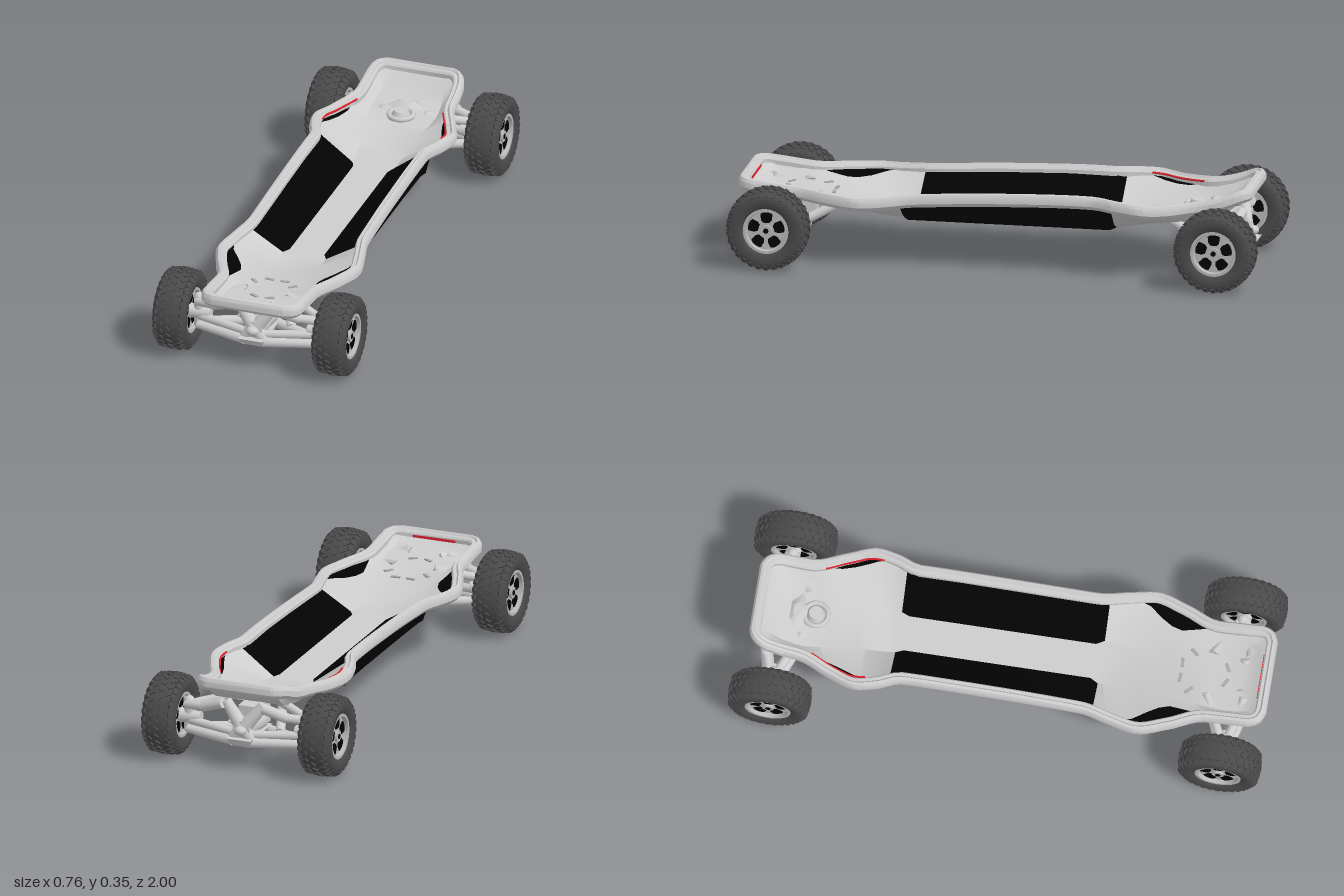
import * as THREE from 'three';
import { mergeGeometries, toCreasedNormals } from 'three/addons/utils/BufferGeometryUtils.js';

const mat = (name, color, side = THREE.FrontSide) => {
  const m = new THREE.MeshStandardMaterial({ color, side });
  m.name = name;
  return m;
};

// Smooth monotone lookup in a table of [z, value], z descending
function look(table, z) {
  const n = table.length - 1;
  if (z >= table[0][0]) return table[0][1];
  if (z <= table[n][0]) return table[n][1];
  const slope = i => (table[i + 1][1] - table[i][1]) / (table[i + 1][0] - table[i][0]);
  const tangent = i => {
    if (i === 0 || i === n) return slope(i === 0 ? 0 : n - 1);
    const a = slope(i - 1), b = slope(i);
    return a * b <= 0 ? 0 : 2 * a * b / (a + b);
  };
  let i = 0;
  while (z < table[i + 1][0]) i++;
  const [z0, a] = table[i], [z1, b] = table[i + 1], h = z1 - z0, t = (z - z0) / h, u = 1 - t;
  return a * (1 + 2 * t) * u * u + h * tangent(i) * t * u * u + b * t * t * (3 - 2 * t) - h * tangent(i + 1) * t * t * u;
}
const HALF = [[0.99, 0.14], [0.975, 0.175], [0.93, 0.198], [0.77, 0.198], [0.64, 0.245], [0.52, 0.28], [0.42, 0.262],
  [0.3, 0.237], [0, 0.235], [-0.36, 0.235], [-0.45, 0.265], [-0.53, 0.28], [-0.64, 0.245], [-0.76, 0.198], [-0.87, 0.192], [-0.91, 0.18], [-0.94, 0.155], [-0.95, 0.13]];
const TOP = [[0.99, 0.308], [0.9, 0.3], [0.7, 0.28], [0.5, 0.274], [0.3, 0.288], [0, 0.305], [-0.3, 0.313],
  [-0.5, 0.305], [-0.62, 0.294], [-0.75, 0.303], [-0.85, 0.325], [-0.92, 0.35], [-0.95, 0.353]];
const FLOOR_HALF = [[0.95, 0.13], [0.85, 0.14], [0.74, 0.13], [0.6, 0.1], [0.45, 0.08], [0.35, 0.085], [0.32, 0.068], [-0.38, 0.068], [-0.41, 0.08], [-0.6, 0.1], [-0.75, 0.13], [-0.91, 0.11]];
const FLOOR = [[0.95, 0.278], [0.9, 0.252], [0.7, 0.235], [0.5, 0.2], [0.4, 0.185], [-0.41, 0.185], [-0.55, 0.21], [-0.7, 0.235], [-0.83, 0.262], [-0.91, 0.322]];
const WALL = [[0.95, 0.9], [0.76, 0.97], [0.7, 0.6], [0.63, 0.4], [0.55, 0.62], [0.46, 0.97], [0.35, 0.95], [-0.41, 0.95], [-0.48, 0.97], [-0.55, 0.82], [-0.65, 0.75], [-0.74, 0.97], [-0.91, 0.9]];
const BASE = [[0.7, 0.14], [0.37, 0.1], [0.35, 0.14], [-0.41, 0.14], [-0.43, 0.1], [-0.7, 0.14]];
const FLARE = [[0.37, 0.4], [0.35, 0.75], [-0.41, 0.75], [-0.43, 0.4]];
const half = z => look(HALF, z), top = z => look(TOP, z);

// Half cross-section of the tub: inside from the centre out, then back underneath
function section(z) {
  const h = half(z), t = top(z), f = look(FLOOR, z), fh = look(FLOOR_HALF, z), k = look(WALL, z);
  const r = [h - 0.03, t - 0.02], b = [look(BASE, z), f - 0.02], r2 = [h - 0.02, t - 0.03];
  return [[0, f], [fh, f], [fh + (r[0] - fh) * k, f + (r[1] - f) * k], r, r2,
    [b[0] + (r2[0] - b[0]) * look(FLARE, z), b[1] + 0.025], b, [0, b[1]]];
}

const quad = (out, a, b, c, d) => out.push(...a, ...b, ...c, ...a, ...c, ...d);
function surface(list, crease) {
  const g = new THREE.BufferGeometry();
  g.setAttribute('position', new THREE.Float32BufferAttribute(list, 3));
  return toCreasedNormals(g, crease);
}

function tubGeometries() {
  const zs = [0.95, 0.92, 0.88, 0.82, 0.76, 0.73, 0.7, 0.66, 0.63, 0.59, 0.55, 0.5, 0.46, 0.4, 0.37, 0.35, 0.32, 0.2, 0, -0.2,
    -0.38, -0.41, -0.43, -0.45, -0.48, -0.52, -0.55, -0.6, -0.65, -0.69, -0.74, -0.77, -0.83, -0.87, -0.91];
  const body = [], panel = [];
  for (let i = 0; i + 1 < zs.length; i++) {
    const za = zs[i], zb = zs[i + 1], zm = (za + zb) / 2, A = section(za), B = section(zb);
    const battery = zm < 0.35 && zm > -0.41, boxSide = zm < 0.37 && zm > -0.43;
    const vent = (zm < 0.76 && zm > 0.46) || (zm < -0.48 && zm > -0.74);
    for (let j = 0; j < 7; j++) {
      const dark = (battery && j === 1) || (boxSide && (j === 4 || j === 5)) || (vent && j === 2);
      for (const s of [1, -1]) {
        const P = (p, z) => [s * p[0], p[1], z];
        const q = [P(A[j], za), P(A[j + 1], za), P(B[j + 1], zb), P(B[j], zb)];
        quad(dark ? panel : body, ...(s > 0 ? q : q.reverse()));
      }
    }
  }
  return [surface(body, 0.5), surface(panel, 0.5)];
}

// Rim: a stepped profile swept around the deck outline
function rimGeometry() {
  const side = [];
  const zs = [0.99, 0.985, 0.975, 0.955, 0.93];
  for (let z = 0.89; z > -0.86; z -= 0.025) zs.push(z);
  zs.push(-0.88, -0.9, -0.92, -0.935, -0.945, -0.95);
  for (const z of zs) side.push([half(z), z]);
  const loop = [...side, ...side.map(([x, z]) => [-x, z]).reverse()];
  const profile = [[0.012, -0.05], [0, -0.036], [0, -0.014], [0.008, -0.002], [0.018, 0], [0.024, -0.008], [0.036, -0.008], [0.042, -0.016], [0.042, -0.036]];
  const n = loop.length;
  const rings = loop.map(([x, z], i) => {
    const unit = (p, q) => { const l = Math.hypot(q[0] - p[0], q[1] - p[1]) || 1; return [(q[0] - p[0]) / l, (q[1] - p[1]) / l]; };
    const u = unit(loop[(i + n - 1) % n], loop[i]), v = unit(loop[i], loop[(i + 1) % n]);
    const tx = u[0] + v[0], tz = u[1] + v[1], l = Math.hypot(tx, tz);
    return profile.map(([d, y]) => [x + d * tz / l, top(z) + y, z - d * tx / l]);
  });
  const out = [];
  for (let i = 0; i < n; i++) {
    const A = rings[i], B = rings[(i + 1) % n];
    for (let j = 0; j < profile.length; j++) {
      const k = (j + 1) % profile.length;
      quad(out, A[j], A[k], B[k], B[j]);
    }
  }
  return surface(out, 0.6);
}

function rod(a, b, r0, r1 = r0) {
  const p = new THREE.Vector3(...a), d = new THREE.Vector3(...b).sub(p);
  const g = new THREE.CylinderGeometry(r1, r0, d.length(), 14);
  g.translate(0, d.length() / 2, 0);
  g.applyQuaternion(new THREE.Quaternion().setFromUnitVectors(new THREE.Vector3(0, 1, 0), d.normalize()));
  return g.translate(p.x, p.y, p.z);
}

// Suspension for one end, built toward +z
function suspensionGeometry() {
  const g = [
    new THREE.SphereGeometry(1, 20, 12).scale(0.024, 0.018, 0.022).translate(0, 0.155, 0.925),
    rod([0, 0.15, 0.76], [0, 0.155, 0.92], 0.045, 0.034),
    new THREE.CylinderGeometry(0.07, 0.05, 0.035, 4, 1, false, Math.PI / 4).scale(1, 1, 2.2).translate(0, 0.108, 0.84),
    new THREE.BoxGeometry(0.07, 0.1, 0.14).translate(0, 0.18, 0.79),
  ];
  for (const s of [1, -1]) {
    g.push(
      rod([0, 0.155, 0.9], [s * 0.075, 0.25, 0.88], 0.028, 0.02),
      rod([0, 0.155, 0.9], [s * 0.045, 0.108, 0.905], 0.03, 0.02),
      rod([s * 0.035, 0.108, 0.91], [s * 0.235, 0.112, 0.865], 0.02, 0.016),
      rod([s * 0.035, 0.108, 0.75], [s * 0.235, 0.112, 0.83], 0.02, 0.016),
      rod([s * 0.03, 0.135, 0.9], [s * 0.24, 0.143, 0.85], 0.016),
      rod([s * 0.08, 0.245, 0.9], [s * 0.17, 0.212, 0.88], 0.02),
      rod([s * 0.16, 0.213, 0.88], [s * 0.245, 0.203, 0.855], 0.017),
      rod([s * 0.08, 0.235, 0.76], [s * 0.24, 0.2, 0.835], 0.018, 0.015),
      rod([s * 0.05, 0.19, 0.63], [s * 0.1, 0.115, 0.78], 0.018),
      rod([s * 0.19, 0.155, 0.845], [s * 0.3, 0.155, 0.845], 0.022, 0.03),
      rod([s * 0.237, 0.1, 0.845], [s * 0.237, 0.215, 0.845], 0.02),
      new THREE.SphereGeometry(0.02, 16, 10).translate(s * 0.237, 0.215, 0.845),
    );
  }
  return mergeGeometries(g);
}

// Wheel pieces, axis along x
function tyreGeometry() {
  const prof = [[0.084, -0.052], [0.095, -0.061], [0.122, -0.066], [0.138, -0.057], [0.147, -0.035], [0.149, 0],
    [0.147, 0.035], [0.138, 0.057], [0.122, 0.066], [0.095, 0.061], [0.084, 0.052], [0.08, 0.03], [0.08, -0.03], [0.084, -0.052]];
  return new THREE.LatheGeometry(prof.map(p => new THREE.Vector2(...p)), 48).rotateZ(-Math.PI / 2);
}
function treadGeometry() {
  const g = [], n = 30;
  for (let i = 0; i < n; i++) {
    for (const [x, r, tilt, twist, shift] of [[-0.053, 0.139, 0.85, 0.2, 0], [-0.031, 0.147, 0.2, 0.6, 0.5], [0, 0.15, 0, -0.6, 0],
      [0.031, 0.147, -0.2, 0.6, 0.5], [0.053, 0.139, -0.85, 0.2, 0]]) {
      g.push(new THREE.BoxGeometry(0.022, 0.01, 0.015).rotateY(twist).rotateZ(tilt).translate(x, r, 0)
        .rotateX((i + shift) / n * Math.PI * 2));
    }
  }
  return mergeGeometries(g);
}
function hubGeometry() {
  const ring = [[0.086, -0.055], [0.086, 0.055], [0.076, 0.055], [0.073, 0.04], [0.073, -0.04], [0.076, -0.055], [0.086, -0.055]];
  const lathe = toCreasedNormals(new THREE.LatheGeometry(ring.map(p => new THREE.Vector2(...p)), 40), 0.5);
  const parts = [lathe.rotateZ(-Math.PI / 2)];
  const add = geo => parts.push(geo.toNonIndexed());
  add(new THREE.CylinderGeometry(0.075, 0.075, 0.08, 32).rotateZ(Math.PI / 2));
  add(new THREE.CylinderGeometry(0.022, 0.022, 0.098, 20).rotateZ(Math.PI / 2));
  return mergeGeometries(parts);
}
function hubHolesGeometry() {
  const g = [];
  const s = new THREE.Shape([[0.03, -0.012], [0.04, -0.02], [0.063, -0.023], [0.068, -0.014], [0.07, 0], [0.068, 0.014], [0.063, 0.023], [0.04, 0.02], [0.03, 0.012]]
    .map(p => new THREE.Vector2(...p)));
  for (const side of [1, -1]) {
    for (let i = 0; i < 5; i++) {
      g.push(new THREE.ExtrudeGeometry(s, { depth: 0.004, bevelEnabled: false }).rotateY(Math.PI / 2)
        .translate(side * 0.041 - 0.002, 0, 0).rotateX(i * Math.PI * 0.4 + 0.3));
    }
    g.push(new THREE.CylinderGeometry(0.01, 0.01, 0.004, 12).rotateZ(Math.PI / 2).translate(side * 0.049, 0, 0).toNonIndexed());
  }
  return mergeGeometries(g);
}

export function createModel() {
  const model = new THREE.Group();
  model.name = 'offRoadBoard';
  const D = THREE.DoubleSide;
  const shell = mat('light grey shell', 0xcccccc, D), trim = mat('trim grey', 0xa8a8a8);
  const black = mat('black panel', 0x030303, D), rubber = mat('tyre rubber', 0x4a4a4a);
  const hubGrey = mat('hub grey', 0xb8b8b8), red = mat('red light', 0xe0202c);
  const add = (name, geo, material, parent = model) => {
    const m = new THREE.Mesh(geo, material);
    m.name = name;
    parent.add(m);
    return m;
  };

  // Deck
  const [body, panel] = tubGeometries();
  add('deckTub', body, shell);
  add('darkPanels', panel, black);
  add('deckRim', rimGeometry(), shell);

  // Mount boss on the rear floor and slots on the front floor
  add('rearMountRing', new THREE.TorusGeometry(0.045, 0.01, 8, 28).rotateX(Math.PI / 2).translate(0, 0.246, -0.72), shell);
  add('rearMountCap', new THREE.CylinderGeometry(0.026, 0.04, 0.03, 20).translate(0, 0.25, -0.72), shell);
  add('rearMountWedge', new THREE.CylinderGeometry(0.03, 0.095, 0.03, 5).scale(1, 1, 0.55).translate(0, 0.256, -0.79), shell);
  for (const s of [1, -1]) {
    for (const [x, z, turn] of [[0.03, 0.65, 0.1], [0.075, 0.69, 0.8], [0.085, 0.76, 1.4], [0.03, 0.82, 0.5]]) {
      add('frontFloorSlot', new THREE.BoxGeometry(0.035, 0.006, 0.012).rotateY(s * turn).translate(s * x, look(FLOOR, z) + 0.001, z), trim);
    }
    // Red lights along the rear vents
    const path = [-0.5, -0.55, -0.6, -0.65, -0.71].map(z => new THREE.Vector3(s * (half(z) - 0.044), top(z) - 0.014, z));
    add('rearSideLight', new THREE.TubeGeometry(new THREE.CatmullRomCurve3(path), 16, 0.004, 6), red);
  }
  add('frontLight', new THREE.BoxGeometry(0.17, 0.009, 0.003).translate(0, 0.283, 0.9475), red);

  // Suspension and wheels at both ends
  const suspension = suspensionGeometry();
  add('frontSuspension', suspension, shell);
  add('rearSuspension', suspension, shell).rotation.y = Math.PI;
  const parts = [['tyre', tyreGeometry(), rubber], ['tread', treadGeometry(), rubber], ['hub', hubGeometry(), hubGrey], ['hubHoles', hubHolesGeometry(), black]];
  for (const s of [1, -1]) {
    for (const e of [1, -1]) {
      const wheel = new THREE.Group();
      wheel.name = (e > 0 ? 'front' : 'rear') + (s > 0 ? 'Left' : 'Right') + 'Wheel';
      for (const [name, geo, m] of parts) add(name, geo, m, wheel);
      wheel.position.set(s * 0.313, 0.156, e * 0.844);
      model.add(wheel);
    }
  }
  return model;
}
